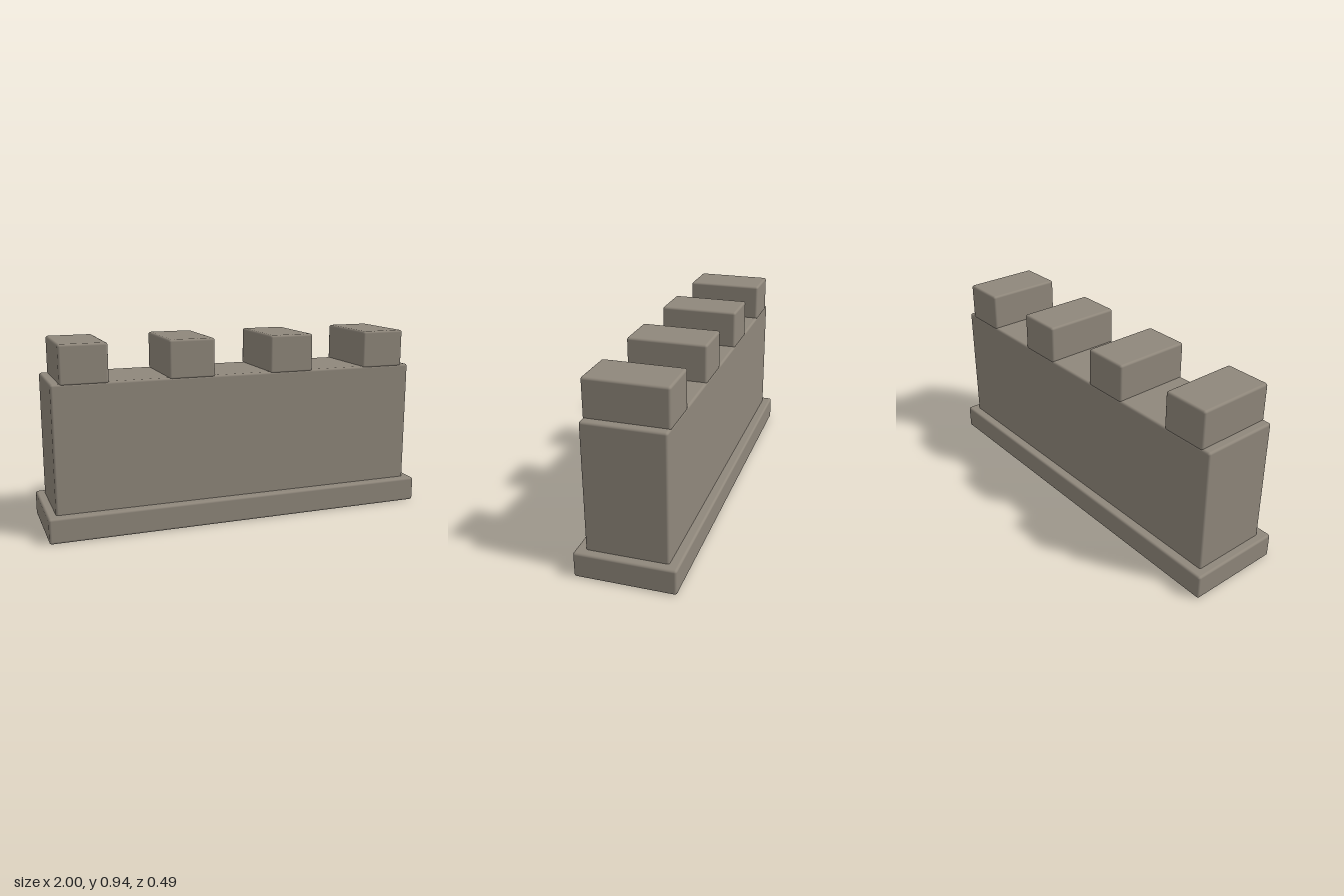
import * as THREE from 'three';
import { RoundedBoxGeometry } from 'three/addons/geometries/RoundedBoxGeometry.js';

export function createModel() {
  const group = new THREE.Group();
  group.name = 'battlementWall';
  const stone = new THREE.MeshStandardMaterial({ color: 0x8f877b });
  stone.name = 'warm grey stone';

  // Softly bevelled block standing on the height y
  const block = (name, width, height, depth, x, y) => {
    const mesh = new THREE.Mesh(new RoundedBoxGeometry(width, height, depth, 2, 0.012), stone);
    mesh.name = name;
    mesh.position.set(x, y + height / 2, 0);
    group.add(mesh);
  };

  // Plinth and wall body
  block('plinth', 2, 0.127, 0.49, 0, 0);
  block('wall', 1.915, 0.645, 0.397, 0, 0.115);

  // Evenly spaced merlons along the top
  const count = 4, spacing = 0.532;
  for (let i = 0; i < count; i++) {
    block(`merlon${i + 1}`, 0.235, 0.195, 0.397, (i - (count - 1) / 2) * spacing, 0.75);
  }
  return group;
}
